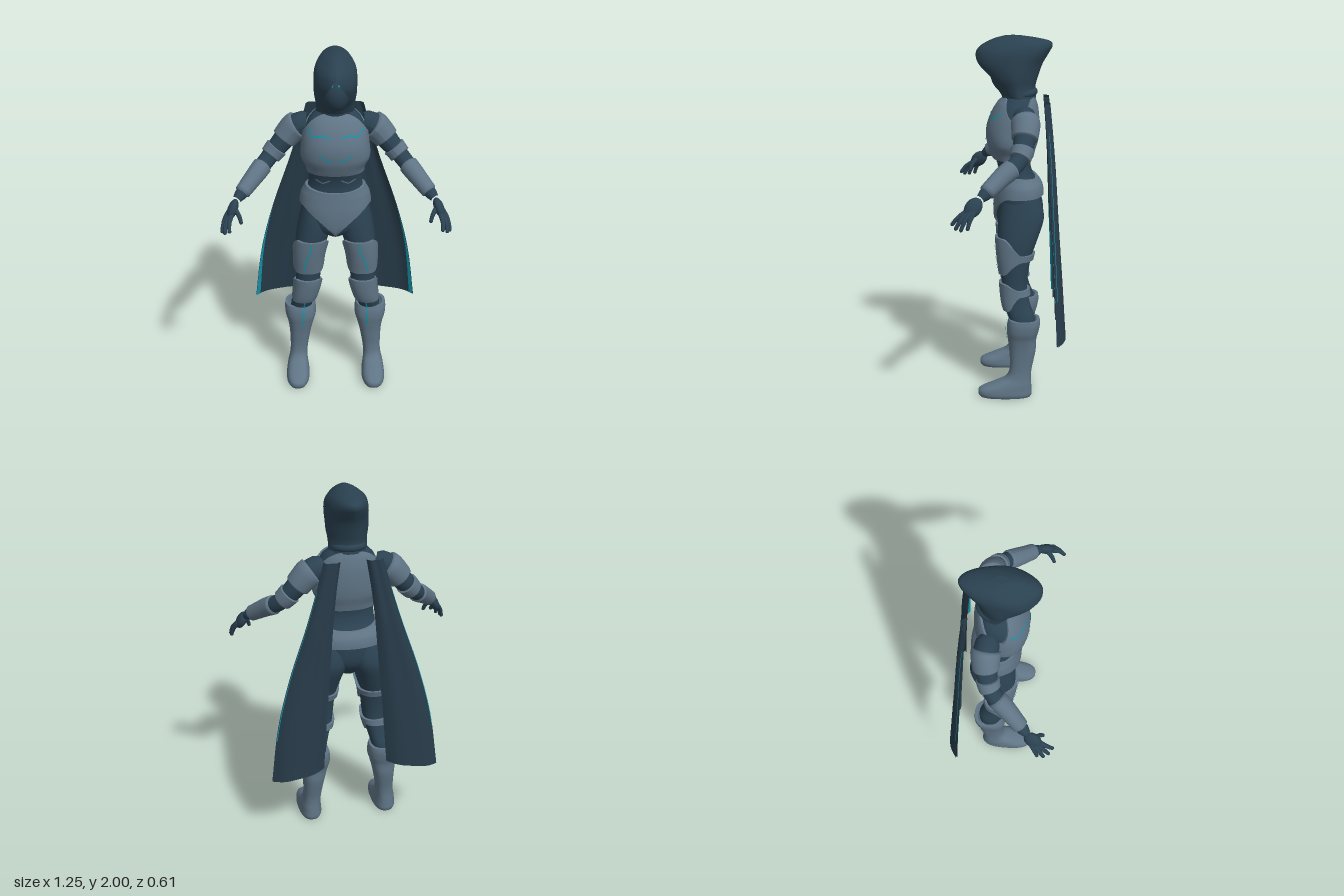
import * as THREE from 'three';

const mat = (name, color, side = THREE.FrontSide) => {
  const m = new THREE.MeshStandardMaterial({ color, side });
  m.name = name;
  return m;
};
const SUIT = mat('dark suit', 0x2b4252);
const HOOD = mat('hood cloth', 0x2a4150, THREE.DoubleSide);
const CAPE = mat('cape cloth', 0x273b49, THREE.DoubleSide);
const ARMOR = mat('armor grey', 0x5f7485, THREE.DoubleSide);
const TEAL = mat('teal glow', 0x1093a9, THREE.DoubleSide);

// Cross-sections: [y, centre x, half width, front z, back z], from bottom to top
const TORSO = [
  [0.93, 0, 0.04, 0.02, -0.09], [0.97, 0, 0.11, 0.065, -0.13], [1.02, 0, 0.165, 0.075, -0.165],
  [1.1, 0, 0.185, 0.075, -0.175], [1.18, 0, 0.178, 0.065, -0.168], [1.24, 0, 0.152, 0.058, -0.13],
  [1.3, 0, 0.146, 0.068, -0.115], [1.36, 0, 0.15, 0.092, -0.125], [1.42, 0, 0.176, 0.112, -0.142],
  [1.5, 0, 0.172, 0.115, -0.15], [1.58, 0, 0.16, 0.088, -0.148], [1.64, 0, 0.135, 0.052, -0.136],
  [1.67, 0, 0.1, 0.02, -0.125], [1.72, 0, 0.06, 0.0, -0.11]];
const LEG = [
  [0.4, 0.2, 0.06, -0.01, -0.14], [0.46, 0.195, 0.062, 0.005, -0.14], [0.53, 0.177, 0.062, 0.03, -0.115],
  [0.62, 0.16, 0.068, 0.042, -0.098], [0.7, 0.155, 0.072, 0.046, -0.102], [0.8, 0.15, 0.078, 0.058, -0.12],
  [0.9, 0.135, 0.09, 0.065, -0.155], [1.0, 0.112, 0.098, 0.063, -0.188], [1.06, 0.105, 0.092, 0.055, -0.185],
  [1.13, 0.1, 0.08, 0.04, -0.16]];
const BOOT = [
  [0, 0.222, 0.06, 0.165, -0.118], [0.015, 0.222, 0.067, 0.176, -0.125], [0.045, 0.222, 0.065, 0.168, -0.124],
  [0.075, 0.222, 0.059, 0.1, -0.122], [0.11, 0.219, 0.052, 0.025, -0.12], [0.16, 0.215, 0.051, 0.0, -0.124],
  [0.27, 0.207, 0.062, 0.002, -0.146], [0.34, 0.203, 0.075, 0.01, -0.15], [0.385, 0.203, 0.088, 0.015, -0.162],
  [0.43, 0.205, 0.09, 0.012, -0.17], [0.457, 0.206, 0.086, 0.004, -0.168]];
const HOODROWS = [
  [1.665, 0, 0.103, 0.035, -0.145], [1.72, 0, 0.104, 0.075, -0.14], [1.78, 0, 0.114, 0.132, -0.155],
  [1.85, 0, 0.118, 0.182, -0.18], [1.91, 0, 0.113, 0.182, -0.215], [1.945, 0, 0.098, 0.158, -0.232],
  [1.97, 0, 0.076, 0.115, -0.218], [1.987, 0, 0.052, 0.075, -0.15], [2.0, 0, 0.02, 0.025, -0.06]];

// Smooth section at height y
function section(rows, y) {
  const last = rows.length - 1;
  y = THREE.MathUtils.clamp(y, rows[0][0], rows[last][0]);
  let i = 0;
  while (i < last - 1 && y > rows[i + 1][0]) i++;
  const h = rows[i + 1][0] - rows[i][0], t = (y - rows[i][0]) / h;
  const slope = (k, c) => {
    const a = rows[Math.max(k - 1, 0)], b = rows[Math.min(k + 1, last)];
    return (b[c] - a[c]) / (b[0] - a[0]);
  };
  const [cx, rx, zf, zb] = [1, 2, 3, 4].map(c =>
    rows[i][c] * (1 + 2 * t) * (1 - t) ** 2 + slope(i, c) * h * t * (1 - t) ** 2 +
    rows[i + 1][c] * t * t * (3 - 2 * t) + slope(i + 1, c) * h * t * t * (t - 1));
  return { cx, rx, cz: (zf + zb) / 2, rz: (zf - zb) / 2 };
}

function grid(nu, nv, wrap, point) {
  const pos = [], idx = [], cols = wrap ? nu : nu + 1;
  for (let i = 0; i <= nv; i++) for (let j = 0; j < cols; j++) pos.push(...point(j / nu, i));
  for (let i = 0; i < nv; i++) for (let j = 0; j < nu; j++) {
    const k = (j + 1) % cols, a = i * cols + j, b = i * cols + k;
    idx.push(a, b, b + cols, a, b + cols, a + cols);
  }
  const g = new THREE.BufferGeometry();
  g.setAttribute('position', new THREE.Float32BufferAttribute(pos, 3));
  g.setIndex(idx);
  g.computeVertexNormals();
  return g;
}

// Skin around the sections between two heights, which may vary with the angle from the front
function shell(rows, bot, top, { off = 0, low = 0.8, high = 0.8, gap = null, fold = 0, round = 0.9, n = 36 } = {}) {
  const at = (f, a) => (typeof f === 'function' ? f(a) : f);
  const power = v => Math.sign(v) * Math.abs(v) ** round;
  return grid(60, n + 4, !gap, (u, i) => {
    const t = THREE.MathUtils.clamp((i - 2) / n, 0, 1);
    let a = u * Math.PI * 2;
    const y = THREE.MathUtils.lerp(at(bot, a), at(top, a), t);
    if (gap) a = gap(y) + u * (Math.PI * 2 - 2 * gap(y));
    const s = section(rows, y), ripple = 1 + fold * Math.sin(Math.abs(a - Math.PI) * 5 + y * 22) * Math.sin(a) ** 2;
    const k = (i === 0 ? low : i === n + 4 ? high : 1) * ripple;
    return [s.cx + k * (s.rx + off) * power(Math.sin(a)), y, s.cz + k * (s.rz + off) * power(Math.cos(a))];
  });
}

// Tapered tube along part of a curve
function limb(curve, radius, u0 = 0, u1 = 1, tip = 0.75) {
  const n = 20, seg = 20, pts = [];
  for (let i = 0; i <= 12; i++) pts.push(curve.getPointAt(u0 + (u1 - u0) * i / 12));
  const sub = new THREE.CatmullRomCurve3(pts), g = new THREE.TubeGeometry(sub, n, 1, seg), p = g.attributes.position;
  const v = new THREE.Vector3();
  for (let i = 0; i <= n; i++) {
    const c = sub.getPointAt(i / n);
    const r = radius(u0 + (u1 - u0) * i / n) * (i === 0 || i === n ? tip : 1);
    for (let j = 0; j <= seg; j++) {
      const k = i * (seg + 1) + j;
      v.fromBufferAttribute(p, k).sub(c).multiplyScalar(r).add(c);
      p.setXYZ(k, v.x, v.y, v.z);
    }
  }
  g.computeVertexNormals();
  return g;
}
const path = pts => new THREE.CatmullRomCurve3(pts.map(p => new THREE.Vector3(...p)));

// Flat strip facing forward along bent 2D points, with its depth given by a rule
function ribbon(pts, depth, width) {
  const curve = new THREE.CatmullRomCurve3(pts.map(([x, y]) => new THREE.Vector3(x, y, 0)), false, 'catmullrom', 0.15);
  return grid(2, 24, false, (u, i) => {
    const c = curve.getPointAt(i / 24), d = curve.getTangentAt(i / 24), w = (u - 0.5) * width;
    const x = c.x + d.y * w, y = c.y - d.x * w;
    return [x, y, depth(x, y)];
  });
}
// Painted line on the front of a sectioned surface
const line = (rows, pts, off, width = 0.008) => ribbon(pts, (x, y) => {
  const s = section(rows, y), q = Math.min(0.98, Math.abs(x - s.cx) / (s.rx + off)) ** (1 / 0.9);
  return s.cz + (s.rz + off) * Math.sqrt(1 - q * q) ** 0.9;
}, width);

function mirrored(g) {
  const m = g.clone().scale(-1, 1, 1), a = m.index.array;
  for (let i = 0; i < a.length; i += 3) [a[i], a[i + 1]] = [a[i + 1], a[i]];
  return m;
}

export function createModel() {
  const model = new THREE.Group();
  model.name = 'hoodedFigure';
  const add = (name, g, m) => {
    const mesh = new THREE.Mesh(g, m);
    mesh.name = name;
    model.add(mesh);
  };
  const pair = (name, g, m) => {
    add(name + 'Left', g, m);
    add(name + 'Right', mirrored(g), m);
  };

  // Torso, chest plate and hip guard
  add('torsoSuit', shell(TORSO, 0.93, 1.72, { low: 0 }), SUIT);
  add('chestPlate', shell(TORSO, 1.335, a => 1.672 - 0.11 * Math.sin(a) ** 6, { off: 0.013 }), ARMOR);
  add('hipGuard', shell(TORSO, a => Math.cos(a) > 0 ? 0.945 + 0.185 * Math.min(1, Math.abs(Math.sin(a)) / 0.9) ** 0.72 : 1.13,
    a => 1.22 + 0.02 * Math.sin(a) ** 2, { off: 0.015 }), ARMOR);
  pair('chestLine', line(TORSO, [[0.15, 1.6], [0.12, 1.562], [0.08, 1.575], [0.03, 1.565]], 0.017), TEAL);
  pair('chestChevron', line(TORSO, [[0.085, 1.465], [0.05, 1.445], [0.012, 1.43]], 0.017), TEAL);
  pair('bellyChevron', line(TORSO, [[0.11, 1.3], [0.07, 1.28], [0.03, 1.3]], 0.004), ARMOR);

  // Legs, strapped guards and boots
  const front = a => THREE.MathUtils.smoothstep(Math.cos(a), -0.35, 0.7);
  const guard = (strap, half, lo, hi) => shell(LEG,
    a => THREE.MathUtils.lerp(strap - half, lo, front(a)),
    a => THREE.MathUtils.lerp(strap + half, hi, front(a)), { off: 0.015, n: 20 });
  pair('legSuit', shell(LEG, 0.4, 1.13), SUIT);
  pair('thighGuard', guard(0.805, 0.017, 0.71, 0.915), ARMOR);
  pair('kneeGuard', guard(0.605, 0.017, 0.505, 0.658), ARMOR);
  pair('boot', shell(BOOT, 0, 0.457, { low: 0, n: 60, round: 0.8 }), ARMOR);
  pair('thighLine', line(LEG, [[0.135, 0.91], [0.138, 0.86], [0.165, 0.81], [0.178, 0.735]], 0.019), TEAL);
  pair('shinLine', line(BOOT, [[0.183, 0.455], [0.188, 0.335]], 0.007), TEAL);
  pair('shinLineUpper', line(LEG, [[0.176, 0.505], [0.183, 0.455]], 0.005), TEAL);

  // Arms
  const arm = path([[0.14, 1.595, -0.07], [0.21, 1.565, -0.085], [0.3, 1.465, -0.075], [0.37, 1.385, -0.045],
    [0.44, 1.32, 0.04], [0.535, 1.23, 0.15]]);
  const keys = [[0, 0.06], [0.15, 0.068], [0.35, 0.056], [0.5, 0.047], [0.68, 0.044], [1, 0.031]];
  const armRadius = off => u => {
    let i = 0;
    while (i < keys.length - 2 && u > keys[i + 1][0]) i++;
    const t = (u - keys[i][0]) / (keys[i + 1][0] - keys[i][0]);
    return THREE.MathUtils.lerp(keys[i][1], keys[i + 1][1], t) + off;
  };
  pair('armSuit', limb(arm, armRadius(0)), SUIT);
  pair('shoulderGuard', limb(arm, armRadius(0.011), 0.11, 0.3), ARMOR);
  pair('upperArmBand', limb(arm, armRadius(0.01), 0.39, 0.49), ARMOR);
  pair('forearmGuard', limb(arm, armRadius(0.009), 0.59, 0.93), ARMOR);

  // Hands
  const palm = new THREE.SphereGeometry(1, 20, 14).scale(0.027, 0.058, 0.043);
  palm.rotateX(-0.6).rotateZ(0.4).translate(0.557, 1.19, 0.185);
  pair('palm', palm, SUIT);
  const fingers = [
    [[0.573, 1.18, 0.175], [0.602, 1.135, 0.2], [0.615, 1.085, 0.215]],
    [[0.575, 1.175, 0.19], [0.604, 1.13, 0.228], [0.615, 1.078, 0.25]],
    [[0.57, 1.17, 0.205], [0.592, 1.13, 0.25], [0.597, 1.082, 0.278]],
    [[0.56, 1.175, 0.215], [0.572, 1.14, 0.265], [0.57, 1.1, 0.298]],
    [[0.545, 1.2, 0.195], [0.52, 1.165, 0.225], [0.508, 1.125, 0.24]]];
  fingers.forEach((f, i) => pair('finger' + (i + 1), limb(path(f), u => 0.0145 - 0.005 * u, 0, 1, 0.3), SUIT));

  // Head, mask and hood
  add('head', new THREE.SphereGeometry(1, 28, 20).scale(0.08, 0.12, 0.095).translate(0, 1.8, 0), SUIT);
  add('mask', new THREE.SphereGeometry(1, 28, 16, 0, Math.PI, 1.3, 1.84).scale(0.083, 0.125, 0.106).translate(0, 1.805, 0), HOOD);
  pair('eye', ribbon([[0.014, 1.85], [0.03, 1.856], [0.045, 1.866]],
    (x, y) => 0.099 * Math.sqrt(1 - (x / 0.083) ** 2 - ((y - 1.8) / 0.124) ** 2), 0.011), TEAL);
  const opening = y => y > 1.79 ? 0.68 * Math.max(0, 1 - (y - 1.79) / 0.12) ** 0.75
    : 0.68 * Math.sqrt(Math.max(0, 1 - ((1.79 - y) / 0.09) ** 2));
  add('hood', shell(HOODROWS, 1.665, 2.0, { low: 0.9, high: 0, gap: opening, fold: 0.022, round: 1.1, n: 60 }), HOOD);
  add('scarf', new THREE.TorusGeometry(0.078, 0.021, 12, 36).rotateX(Math.PI / 2 + 0.15).translate(0, 1.685, -0.055), HOOD);

  // Split cape with a glowing outer edge
  const edge = path([[0.16, 1.65, 0], [0.2, 1.5, 0], [0.26, 1.3, 0], [0.36, 1.0, 0], [0.43, 0.72, 0], [0.474, 0.39, 0]]);
  const cape = (u, v, dz) => {
    const e = edge.getPoint(v), inner = THREE.MathUtils.lerp(0.07, 0.18, v);
    const wave = Math.sin(u * Math.PI) * THREE.MathUtils.lerp(0.026, 0.05, v * v) + Math.sin(u * Math.PI * 3) * 0.006;
    return [THREE.MathUtils.lerp(inner, e.x, u), e.y + 0.05 * v * (1 - u), THREE.MathUtils.lerp(-0.192, -0.258, v) - wave + dz];
  };
  const sheet = (u0, u1, v0, v1, dz) => grid(20, 30, false,
    (u, i) => {
      const t = i / 30;
      return cape(THREE.MathUtils.lerp(u0(t), u1, u), THREE.MathUtils.lerp(v1, v0, t), dz);
    });
  pair('capeFront', sheet(() => 0, 1, 0, 1, 0.004), CAPE);
  pair('capeBack', sheet(() => 0, 1, 0, 1, -0.004), CAPE);
  pair('capeTrimFront', sheet(t => 0.915 + 0.07 * t, 0.992, 0.6, 1, 0.006), TEAL);
  pair('capeTrimBack', sheet(() => 0.982, 0.998, 0.2, 0.85, -0.006), TEAL);
  return model;
}
